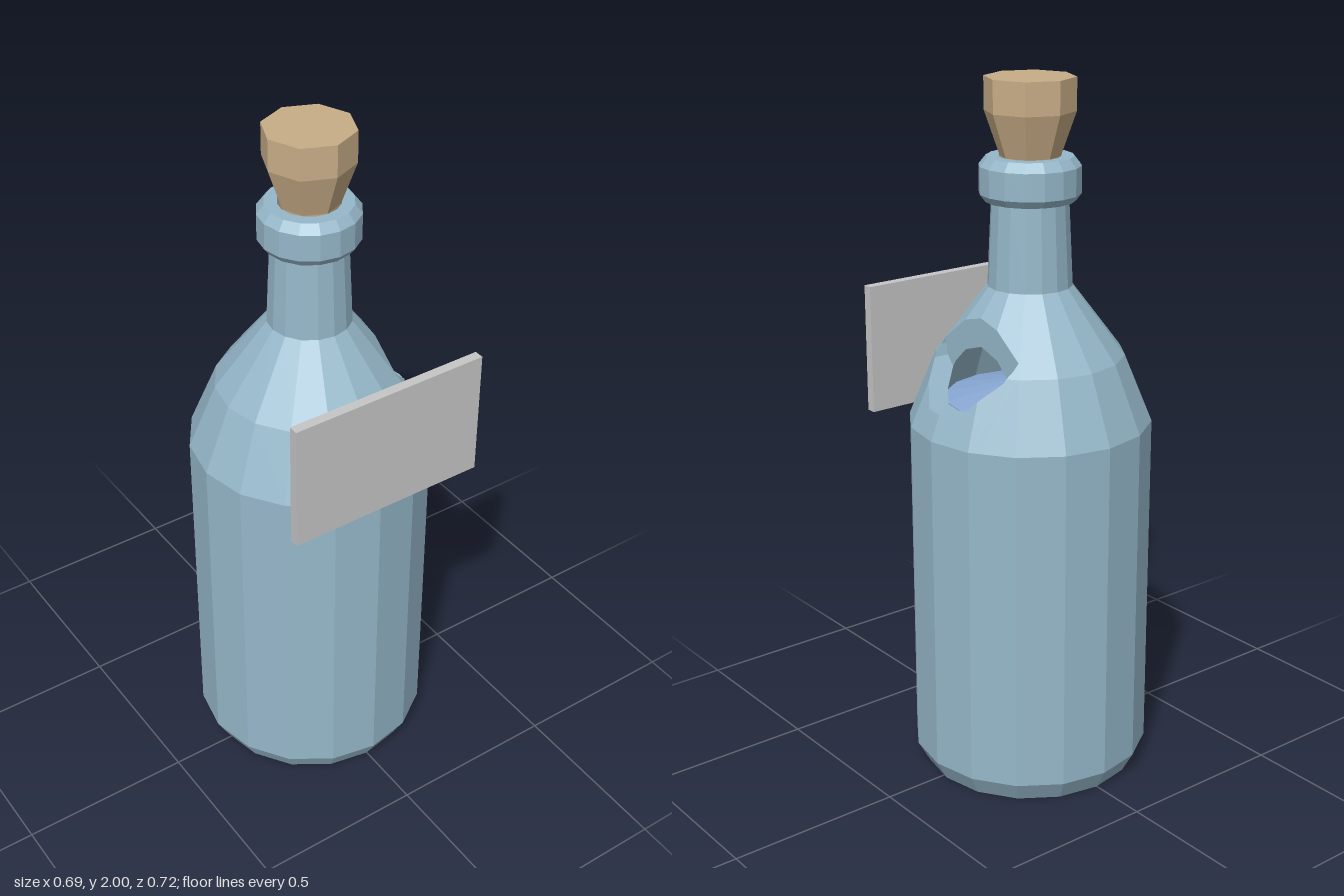
import * as THREE from 'three';

const V = (x, y, z) => new THREE.Vector3(x, y, z);
const SIDES = 16;

const glass = new THREE.MeshStandardMaterial({ name: 'blueGlass', color: 0x96b8ca, side: THREE.DoubleSide });
const corkMat = new THREE.MeshStandardMaterial({ name: 'cork', color: 0xc8ad87 });
const liquidMat = new THREE.MeshStandardMaterial({ name: 'blueLiquid', color: 0x88a8d4 });
const labelMat = new THREE.MeshStandardMaterial({ name: 'greyLabel', color: 0xc6c6c6 });

// Faceted lathe from [radius, height] pairs
function lathe(points, sides) {
  const g = new THREE.LatheGeometry(points.map(p => new THREE.Vector2(...p)), sides).toNonIndexed();
  g.computeVertexNormals();
  return g;
}

function addMesh(parent, name, geometry, material) {
  const m = new THREE.Mesh(geometry, material);
  m.name = name;
  parent.add(m);
  return m;
}

// Plane through three points, facing away from an inner point
function planeAway(a, b, c, inner) {
  const p = new THREE.Plane().setFromCoplanarPoints(a, b, c);
  return p.distanceToPoint(inner) > 0 ? p.negate() : p;
}

// Part of a polygon on one side of a plane
function clip(poly, plane, sign) {
  const out = [];
  poly.forEach((a, i) => {
    const b = poly[(i + 1) % poly.length];
    const da = plane.distanceToPoint(a) * sign, db = plane.distanceToPoint(b) * sign;
    if (da >= 0) out.push(a);
    if ((da > 1e-7 && db < -1e-7) || (da < -1e-7 && db > 1e-7)) out.push(a.clone().lerp(b, da / (da - db)));
  });
  return out.length > 2 ? out : [];
}

const keepInside = (poly, planes) => planes.reduce((p, pl) => (p.length ? clip(p, pl, -1) : p), poly);

// Polygon minus a convex solid, as a list of pieces
function subtract(poly, planes) {
  if (!keepInside(poly, planes).length) return [poly];
  const out = [];
  for (const pl of planes) {
    const outside = clip(poly, pl, 1);
    if (outside.length) out.push(outside);
    poly = clip(poly, pl, -1);
  }
  return out;
}

// Facet planes of a convex stretch of a lathed profile
function facetPlanes(profile) {
  const planes = [], inner = V(0, 1.2, 0);
  const at = ([r, y], i) => {
    const a = (i / SIDES) * Math.PI * 2;
    return V(r * Math.sin(a), y, r * Math.cos(a));
  };
  for (let k = 0; k < profile.length - 1; k++) {
    for (let i = 0; i < SIDES; i++) {
      planes.push(planeAway(at(profile[k], i), at(profile[k], i + 1), at(profile[k + 1], i), inner));
    }
  }
  return planes;
}

function polygonsToGeometry(polys) {
  const pos = [];
  for (const p of polys) {
    for (let i = 1; i < p.length - 1; i++) {
      for (const v of [p[0], p[i], p[i + 1]]) pos.push(v.x, v.y, v.z);
    }
  }
  const g = new THREE.BufferGeometry();
  g.setAttribute('position', new THREE.Float32BufferAttribute(pos, 3));
  g.computeVertexNormals();
  return g;
}

// Thick-walled bottle with an opening cut into its left shoulder
function bottleGeometries() {
  const outerShoulder = [[0.343, 1.05], [0.265, 1.24], [0.118, 1.435]];
  const innerShoulder = [[0.285, 1.03], [0.21, 1.22], [0.07, 1.45]];
  const profile = [
    [0, 0], [0.31, 0], [0.343, 0.06], ...outerShoulder,
    [0.107, 1.67], [0.125, 1.67], [0.14, 1.69], [0.14, 1.765], [0.12, 1.79], [0.085, 1.79],
    ...[...innerShoulder].reverse(), [0.285, 0.06], [0, 0.06],
  ];

  // Prism-shaped cutter along x: half section as [z, y]
  const half = [[0.063, 1.12], [0.155, 1.228], [0.163, 1.26], [0.163, 1.6]];
  const section = [...half, ...half.map(([z, y]) => [-z, y]).reverse()];
  const x0 = 0.17, x1 = 0.5;
  const back = section.map(([z, y]) => V(x0, y, z));
  const faces = [back];
  section.forEach(([z, y], i) => {
    const [z2, y2] = section[(i + 1) % section.length];
    faces.push([V(x0, y, z), V(x0, y2, z2), V(x1, y2, z2), V(x1, y, z)]);
  });
  const cutter = faces.map(f => planeAway(f[0], f[1], f[2], V(0.3, 1.35, 0)));

  // Shell surface outside the cutter
  const pos = lathe(profile, SIDES).getAttribute('position');
  const shell = [];
  for (let i = 0; i < pos.count; i += 3) {
    const tri = [0, 1, 2].map(k => new THREE.Vector3().fromBufferAttribute(pos, i + k));
    if (new THREE.Triangle(...tri).getArea() > 1e-8) shell.push(...subtract(tri, cutter));
  }

  // Cutter faces lying within the wall thickness
  const outerPlanes = facetPlanes(outerShoulder), innerPlanes = facetPlanes(innerShoulder);
  const rim = [];
  for (const f of faces) {
    const p = keepInside(f, outerPlanes);
    if (p.length) rim.push(...subtract(p, innerPlanes));
  }
  return [polygonsToGeometry(shell), polygonsToGeometry(rim)];
}

export function createModel() {
  const root = new THREE.Group();
  root.name = 'corkedBottle';

  const bottle = new THREE.Group();
  bottle.name = 'bottle';
  bottle.position.z = -0.017;
  root.add(bottle);

  const [shell, rim] = bottleGeometries();
  addMesh(bottle, 'glassShell', shell, glass);
  addMesh(bottle, 'openingRim', rim, glass);

  // Liquid with a slightly domed top
  addMesh(bottle, 'liquid', lathe([[0, 0.08], [0.24, 0.08], [0.24, 1.115], [0, 1.17]], SIDES), liquidMat);

  // Tapered eight-sided stopper
  addMesh(bottle, 'stopper', lathe([[0, 1.67], [0.068, 1.67], [0.083, 1.79], [0.125, 1.91], [0.125, 2], [0, 2]], 8), corkMat);

  // Flat label plate standing in front of the shoulder
  const label = addMesh(root, 'label', new THREE.BoxGeometry(0.592, 0.37, 0.028), labelMat);
  label.position.set(-0.001, 1.217, 0.346);

  return root;
}
